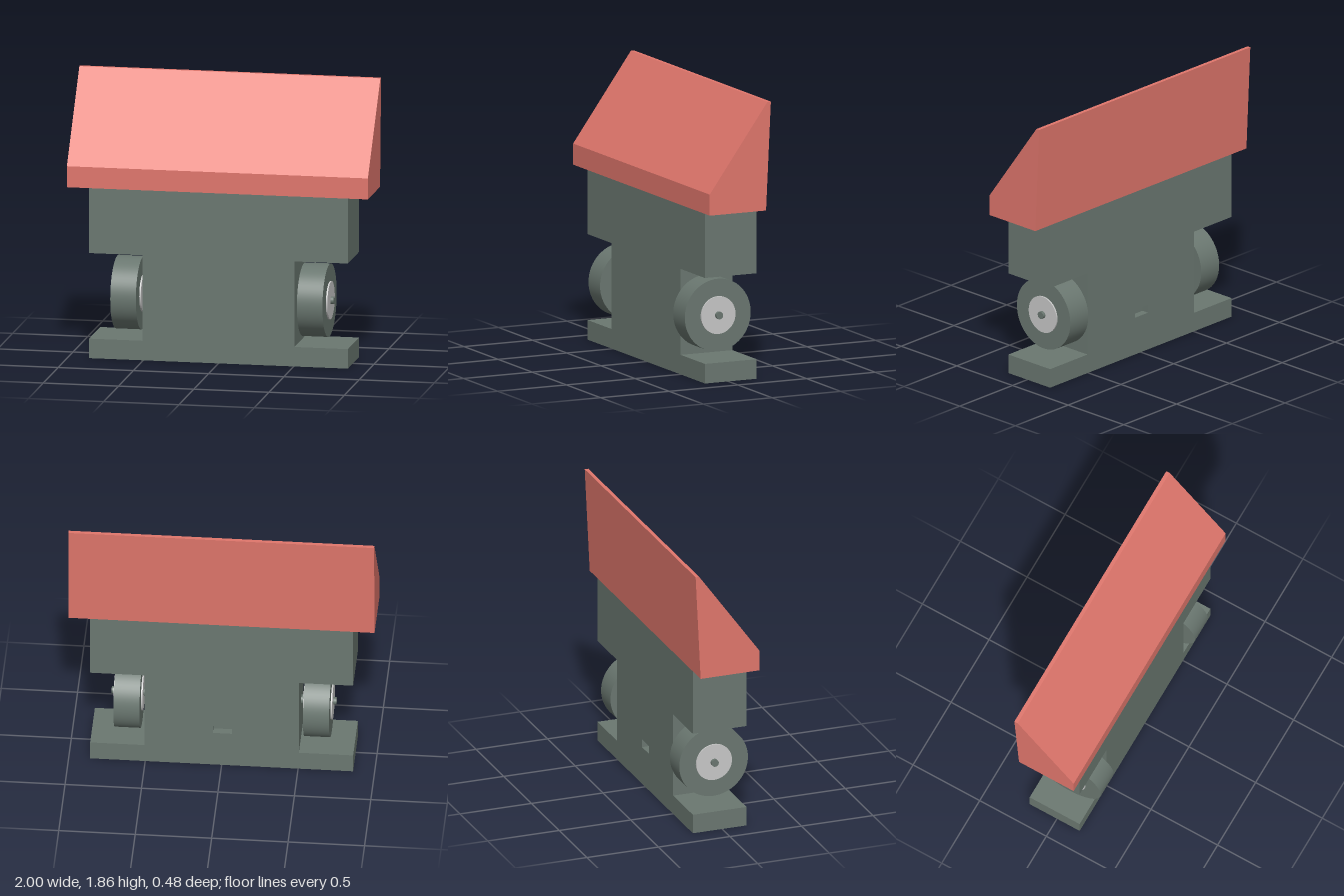
import * as THREE from 'three';

const HEAD_WIDTH = 2;
const BODY_FRONT = 0.17;
const BODY_BACK = -0.205;
const WHEEL_Y = 0.415;

const shapeFrom = (points) => new THREE.Shape(points.map(([x, y]) => new THREE.Vector2(x, y)));

export function createModel() {
  const red = new THREE.MeshStandardMaterial({ name: 'coral red', color: 0xe0766c });
  const grey = new THREE.MeshStandardMaterial({ name: 'slate green', color: 0x6a7770 });
  const silver = new THREE.MeshStandardMaterial({ name: 'light silver', color: 0xc8c8c8 });

  const model = new THREE.Group();
  model.name = 'wheeledRobot';

  const add = (parent, name, geometry, material, x = 0, y = 0, z = 0) => {
    const mesh = new THREE.Mesh(geometry, material);
    mesh.name = name;
    mesh.position.set(x, y, z);
    parent.add(mesh);
    return mesh;
  };

  // Body: slab with a wheel bay cut into each side and a socket opening
  const half = [[0.86, 0], [0.86, 0.13], [0.505, 0.13], [0.505, 0.7], [0.86, 0.7], [0.86, 1.14]];
  const mirrored = half.map(([x, y]) => [-x, y]).reverse();
  const outline = shapeFrom([...half, ...mirrored]);
  const slot = { x: -0.005, y: 0.285, w: 0.125, h: 0.055, depth: 0.05 };
  const l = slot.x - slot.w / 2, r = slot.x + slot.w / 2;
  const b = slot.y - slot.h / 2, t = slot.y + slot.h / 2;
  outline.holes.push(shapeFrom([[l, b], [l, t], [r, t], [r, b]]));
  const depth = BODY_FRONT - BODY_BACK;
  add(model, 'body', new THREE.ExtrudeGeometry(outline, { depth, bevelEnabled: false }),
    grey, 0, 0, BODY_BACK);

  // Fills the opening from the front, leaving a shallow socket at the back
  add(model, 'socketFloor', new THREE.BoxGeometry(slot.w, slot.h, depth - slot.depth),
    grey, slot.x, slot.y, BODY_FRONT - (depth - slot.depth) / 2);

  // Head: wedge profile in (z, y), swept across the full width
  const wedge = shapeFrom([[0.205, 1.14], [0.205, 1.28], [-0.215, 1.86], [-0.24, 1.86], [-0.205, 1.14]]);
  const headGeometry = new THREE.ExtrudeGeometry(wedge, { depth: HEAD_WIDTH, bevelEnabled: false });
  headGeometry.translate(0, 0, -HEAD_WIDTH / 2).rotateY(-Math.PI / 2);
  add(model, 'head', headGeometry, red);

  // Wheels: tyre, hub disc and axle, each given as radius and x range
  const disc = (radius, from, to, segments) =>
    new THREE.CylinderGeometry(radius, radius, to - from, segments)
      .rotateZ(-Math.PI / 2).translate((from + to) / 2, 0, 0);

  for (const [side, angle] of [['left', 0], ['right', Math.PI]]) {
    const wheel = new THREE.Group();
    wheel.name = `${side}Wheel`;
    wheel.position.y = WHEEL_Y;
    wheel.rotation.y = angle;
    add(wheel, 'tyre', disc(0.24, 0.535, 0.705, 64), grey);
    add(wheel, 'hub', disc(0.125, 0.525, 0.715, 48), silver);
    add(wheel, 'axle', disc(0.025, 0.5, 0.735, 24), grey);
    add(wheel, 'axleCollar', disc(0.032, 0.5, 0.522, 24), grey);
    model.add(wheel);
  }

  return model;
}
